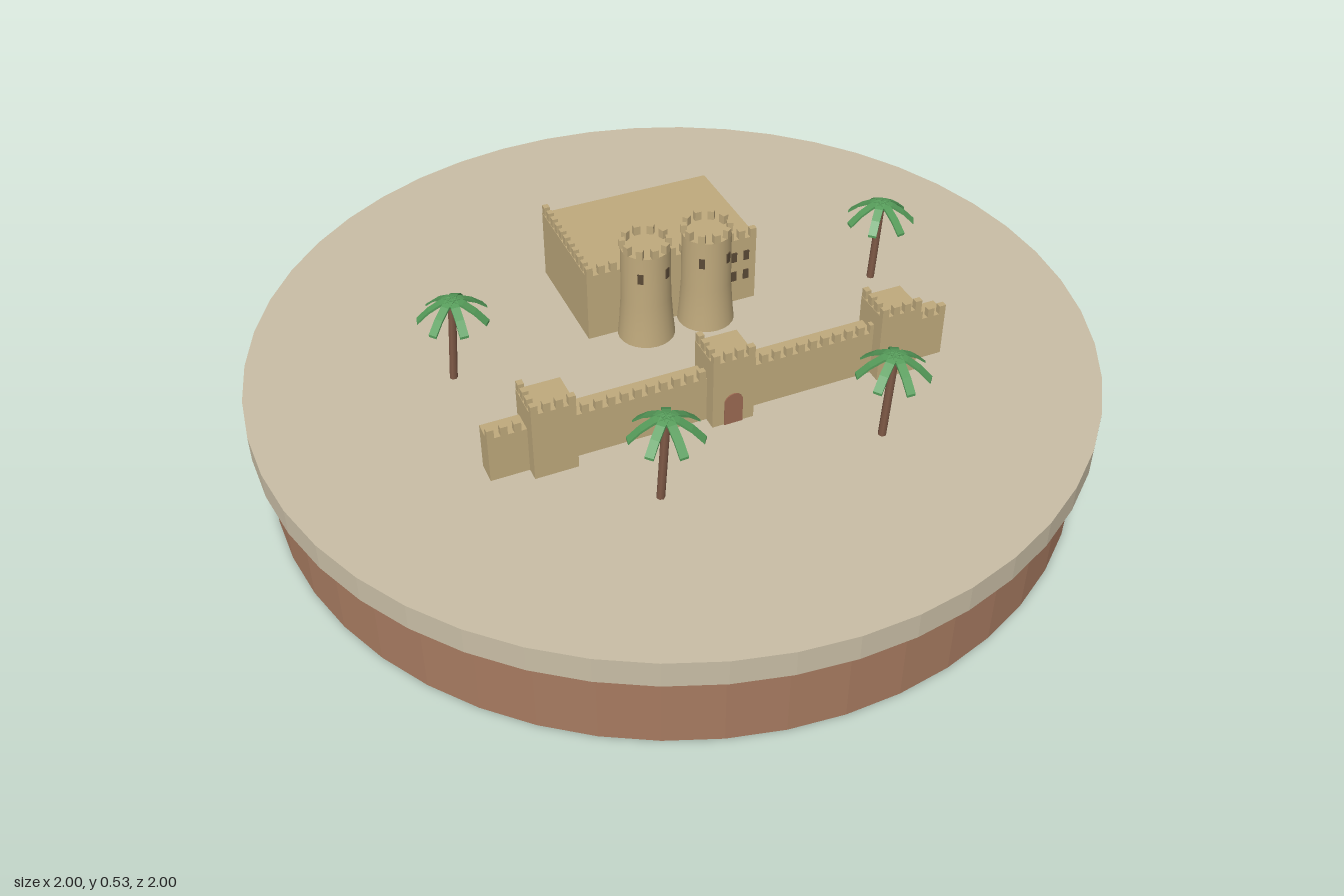
import * as THREE from 'three';

const mat = (name, color, extra = {}) => {
  const m = new THREE.MeshStandardMaterial({ color, ...extra });
  m.name = name;
  return m;
};

export function createModel() {
  const sand = mat('sand', 0xc8bda5);
  const earth = mat('earth', 0xa67a60);
  const stone = mat('stone', 0xbfa97c);
  const doorWood = mat('door wood', 0x9c6a52);
  const dark = mat('window dark', 0x5a4a36);
  const bark = mat('bark', 0x7d5845);
  const leaf = mat('palm green', 0x569c5a);

  const model = new THREE.Group();
  const GROUND = 0.265;

  const add = (parent, name, geo, material, x, y, z) => {
    const mesh = new THREE.Mesh(geo, material);
    mesh.name = name;
    mesh.position.set(x, y, z);
    parent.add(mesh);
    return mesh;
  };
  const faceted = (geo) => {
    const g = geo.toNonIndexed();
    g.computeVertexNormals();
    return g;
  };

  // Round plinth: earth below, wider sand disc above
  add(model, 'earthBase', faceted(new THREE.CylinderGeometry(0.97, 0.97, 0.2, 48)), earth, 0, 0.1, 0);
  add(model, 'sandDisc', faceted(new THREE.CylinderGeometry(1, 1, 0.065, 48)), sand, 0, 0.2325, 0);

  // Fort, turned on the disc; local y = 0 is the ground
  const fort = new THREE.Group();
  fort.name = 'fort';
  fort.position.set(-0.095, GROUND, 0.26);
  fort.rotation.y = -THREE.MathUtils.degToRad(20);
  model.add(fort);

  const merlonGeo = new THREE.BoxGeometry(0.016, 0.022, 0.014);

  // Row of merlons between two points on top of a wall
  const merlons = (x0, z0, x1, z1, y, spacing = 0.03) => {
    const length = Math.hypot(x1 - x0, z1 - z0);
    const n = Math.max(1, Math.round(length / spacing));
    for (let i = 0; i <= n; i++) {
      const t = i / n;
      const m = add(fort, 'merlon', merlonGeo, stone, x0 + (x1 - x0) * t, y + 0.011, z0 + (z1 - z0) * t);
      m.rotation.y = -Math.atan2(z1 - z0, x1 - x0);
    }
  };

  // Stone block with merlons on its front and right-hand edges
  const block = (name, x, z, w, h, d, sideMerlons = true) => {
    add(fort, name, new THREE.BoxGeometry(w, h, d), stone, x, h / 2, z);
    const l = x - w / 2 + 0.008, r = x + w / 2 - 0.008;
    const f = z + d / 2 - 0.007, b = z - d / 2 + 0.008;
    merlons(l, f, r, f, h);
    if (sideMerlons) merlons(l, b, l, f - 0.028, h);
  };

  // Curtain wall with two end towers and a gate tower
  block('curtainWall', 0, 0, 1.107, 0.115, 0.052, false);
  for (const [name, x] of [['rightWallTower', -0.415], ['gateTower', 0], ['leftWallTower', 0.415]]) {
    block(name, x, 0.01, 0.1, 0.175, 0.096);
  }

  // Arched gate on the front of the gate tower
  const arch = new THREE.Shape();
  arch.moveTo(-0.022, 0);
  arch.lineTo(0.022, 0);
  arch.lineTo(0.022, 0.06);
  arch.absarc(0, 0.06, 0.022, 0, Math.PI, false);
  arch.lineTo(-0.022, 0);
  add(fort, 'gateDoor', new THREE.ExtrudeGeometry(arch, { depth: 0.004, bevelEnabled: false }), doorWood, 0, 0, 0.057);

  // Keep
  block('keep', 0.035, -0.502, 0.436, 0.178, 0.3);
  const windowGeo = new THREE.BoxGeometry(0.014, 0.026, 0.004);
  for (const x of [0.195, 0.227]) {
    for (const y of [0.075, 0.13]) add(fort, 'keepWindow', windowGeo, dark, x, y, -0.351);
  }

  // Two round towers on the keep front
  const profile = [[0.069, 0], [0.065, 0.04], [0.06, 0.11], [0.059, 0.245]].map((p) => new THREE.Vector2(...p));
  const towerGeo = new THREE.LatheGeometry(profile, 24);
  const capGeo = new THREE.CircleGeometry(0.059, 24).rotateX(-Math.PI / 2);
  for (const x of [-0.045, 0.11]) {
    const z = -0.328;
    add(fort, 'roundTower', towerGeo, stone, x, 0, z);
    add(fort, 'roundTowerTop', capGeo, stone, x, 0.245, z);
    for (let i = 0; i < 10; i++) {
      const a = (i / 10) * Math.PI * 2;
      const m = add(fort, 'towerMerlon', merlonGeo, stone, x + Math.sin(a) * 0.054, 0.256, z + Math.cos(a) * 0.054);
      m.rotation.y = a;
    }
    for (const a of [-0.6, 0.6]) {
      const w = add(fort, 'towerWindow', windowGeo, dark, x + Math.sin(a) * 0.059, 0.19, z + Math.cos(a) * 0.059);
      w.rotation.y = a;
    }
  }

  // Palm frond: a box bent down along its length
  const frondGeo = new THREE.BoxGeometry(0.082, 0.006, 0.02, 3, 1, 1);
  frondGeo.translate(0.041, 0, 0);
  const p = frondGeo.attributes.position;
  for (let i = 0; i < p.count; i++) {
    const r = p.getX(i) / 0.082;
    p.setY(i, p.getY(i) - 0.012 * r - 0.038 * r * r);
  }
  const frond = faceted(frondGeo);

  // Leaning palm trunk
  const trunkCurve = new THREE.QuadraticBezierCurve3(
    new THREE.Vector3(-0.017, 0, 0), new THREE.Vector3(-0.008, 0.11, 0), new THREE.Vector3(0, 0.21, 0));
  const trunkGeo = new THREE.TubeGeometry(trunkCurve, 5, 0.0095, 7);

  const palms = [[-0.45, -0.24, 0.1], [0.55, 0.16, 0.25], [-0.38, 0.38, 0.15], [0.11, 0.57, 0.05]];
  for (const [x, z, turn] of palms) {
    const palm = new THREE.Group();
    palm.name = 'palm';
    palm.position.set(x, GROUND, z);
    add(palm, 'trunk', trunkGeo, bark, 0, 0, 0);
    for (let i = 0; i < 7; i++) {
      add(palm, 'frond', frond, leaf, 0, 0.213, 0).rotation.y = turn + Math.PI / 2 + (i / 7) * Math.PI * 2;
    }
    model.add(palm);
  }
  return model;
}
